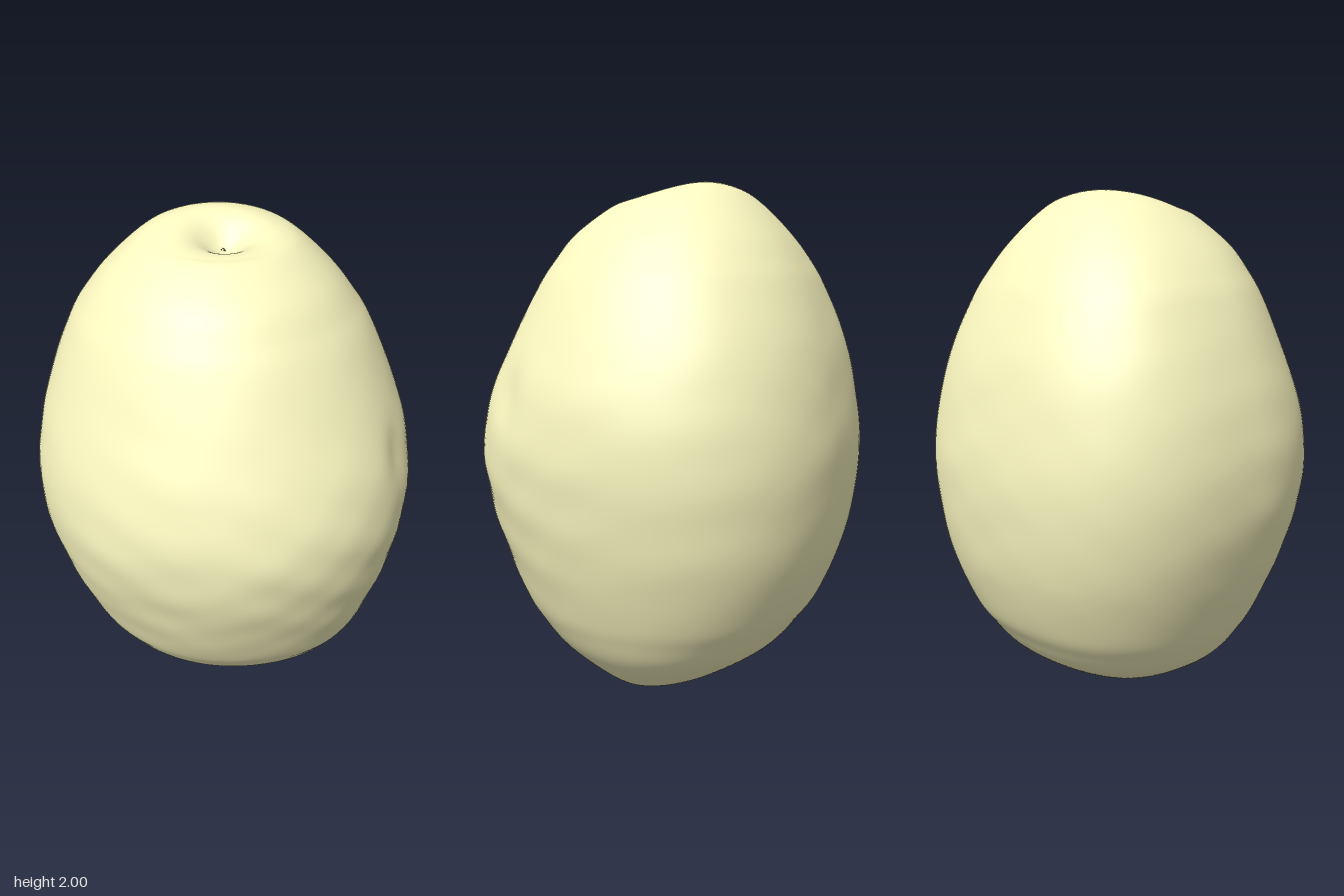
import * as THREE from 'three';

// Sections, bottom to top: height, x min, x max, z min (back), z max (front), tilt down to the front
const SECTIONS = [
  [0, 0.12, 0.12, 0, 0, 0], [0.004, 0.06, 0.18, -0.05, 0.045, 0], [0.015, -0.01, 0.235, -0.095, 0.08, 0],
  [0.05, -0.16, 0.345, -0.19, 0.145, 0], [0.1, -0.3, 0.42, -0.31, 0.25, 0], [0.2, -0.455, 0.515, -0.46, 0.4, 0],
  [0.3, -0.535, 0.575, -0.545, 0.49, 0], [0.4, -0.59, 0.62, -0.61, 0.56, 0], [0.6, -0.67, 0.685, -0.685, 0.65, 0],
  [0.8, -0.725, 0.725, -0.72, 0.715, 0], [1, -0.745, 0.74, -0.73, 0.735, 0], [1.2, -0.725, 0.715, -0.705, 0.69, 0],
  [1.4, -0.67, 0.65, -0.66, 0.605, 0], [1.6, -0.59, 0.56, -0.58, 0.51, 0], [1.7, -0.53, 0.495, -0.525, 0.45, 0],
  [1.8, -0.45, 0.415, -0.455, 0.375, 0], [1.905, -0.335, 0.3, -0.35, 0.24, 0.006],
  [1.945, -0.265, 0.225, -0.255, 0.18, 0.03], [1.965, -0.18, 0.12, -0.13, 0.1, 0.034], [1.962, 0, 0, 0.01, 0.01, 0],
];
const SEGMENTS = 128;
const STEPS = 8;

const curve = (a, b, c) => new THREE.CatmullRomCurve3(
  SECTIONS.map((s) => new THREE.Vector3(s[a], s[b], s[c])), false, 'catmullrom', 0.5);

const bump = (d2, radius) => Math.exp(-d2 / (2 * radius * radius));

// Gentle uneven skin, stronger low on the front
function lumps(x, y, z) {
  const wave = Math.sin(11 * x + 9 * y + 2) * Math.sin(17 * y - 7 * z) + 0.6 * Math.sin(27 * y + 9 * z) * Math.sin(19 * x - 8 * z);
  const front = Math.min(1, Math.max(0, z + 0.3));
  return wave * (0.0015 + 0.004 * bump((y - 0.6) ** 2, 0.4) * front);
}

function fruitGeometry() {
  const across = curve(1, 0, 2), deep = curve(3, 5, 4);
  const rows = (SECTIONS.length - 1) * STEPS;
  const positions = [], index = [];
  for (let i = 0; i <= rows; i++) {
    const a = across.getPoint(i / rows), b = deep.getPoint(i / rows);
    const cx = (a.x + a.z) / 2, rx = (a.z - a.x) / 2;
    const cz = (b.x + b.z) / 2, rz = (b.z - b.x) / 2;
    const body = Math.sin(Math.PI * Math.min(1, Math.max(0, a.y / 2)));
    for (let j = 0; j < SEGMENTS; j++) {
      const t = (j / SEGMENTS) * Math.PI * 2, c = Math.cos(t), s = Math.sin(t);
      // Uneven outline: each quarter bulges differently, front and back lean to the left
      const low = 0.05 * bump((a.y - 0.2) ** 2, 0.2);
      const corner = s < 0 ? (c < 0 ? 0.09 : 0.02) : (c < 0 ? 0 : 0.005 + low);
      const px = cx + rx * c, pz = cz + rz * s;
      // Small dent on the model's left side
      const dent = 0.025 * bump((px - 0.61) ** 2 + ((a.y - 1.2) / 1.6) ** 2 + (pz - 0.36) ** 2, 0.06);
      const k = 1 + corner * Math.sin(2 * t) ** 2 * Math.sqrt(body) + lumps(px, a.y, pz) * body - dent;
      const x = cx + rx * c * k + 0.06 * s * s * body;
      const z = cz + rz * s * k;
      // Stem dimple
      const pit = a.y > 1.5 ? 0.085 * bump((x / 1.25) ** 2 + (z - 0.02) ** 2, 0.055) : 0;
      positions.push(x, a.y - b.y * s - pit, z);
    }
  }
  for (let i = 0; i < rows; i++) {
    for (let j = 0; j < SEGMENTS; j++) {
      const p = i * SEGMENTS + j, q = i * SEGMENTS + (j + 1) % SEGMENTS;
      const r = p + SEGMENTS, u = q + SEGMENTS;
      if (i > 0) index.push(p, u, q);
      if (i < rows - 1) index.push(p, r, u);
    }
  }
  const geometry = new THREE.BufferGeometry();
  geometry.setAttribute('position', new THREE.Float32BufferAttribute(positions, 3));
  geometry.setIndex(index);
  geometry.computeVertexNormals();
  // One shared normal at each pole
  const normal = geometry.attributes.normal;
  for (let j = 0; j < SEGMENTS; j++) {
    normal.setXYZ(j, 0, -1, 0);
    normal.setXYZ(rows * SEGMENTS + j, 0, 1, 0);
  }
  return geometry;
}

export function createModel() {
  const group = new THREE.Group();
  group.name = 'fruit';
  const skin = new THREE.Mesh(fruitGeometry(), new THREE.MeshStandardMaterial({ color: 0xfcf8c1 }));
  skin.name = 'fruitSkin';
  group.add(skin);
  return group;
}
